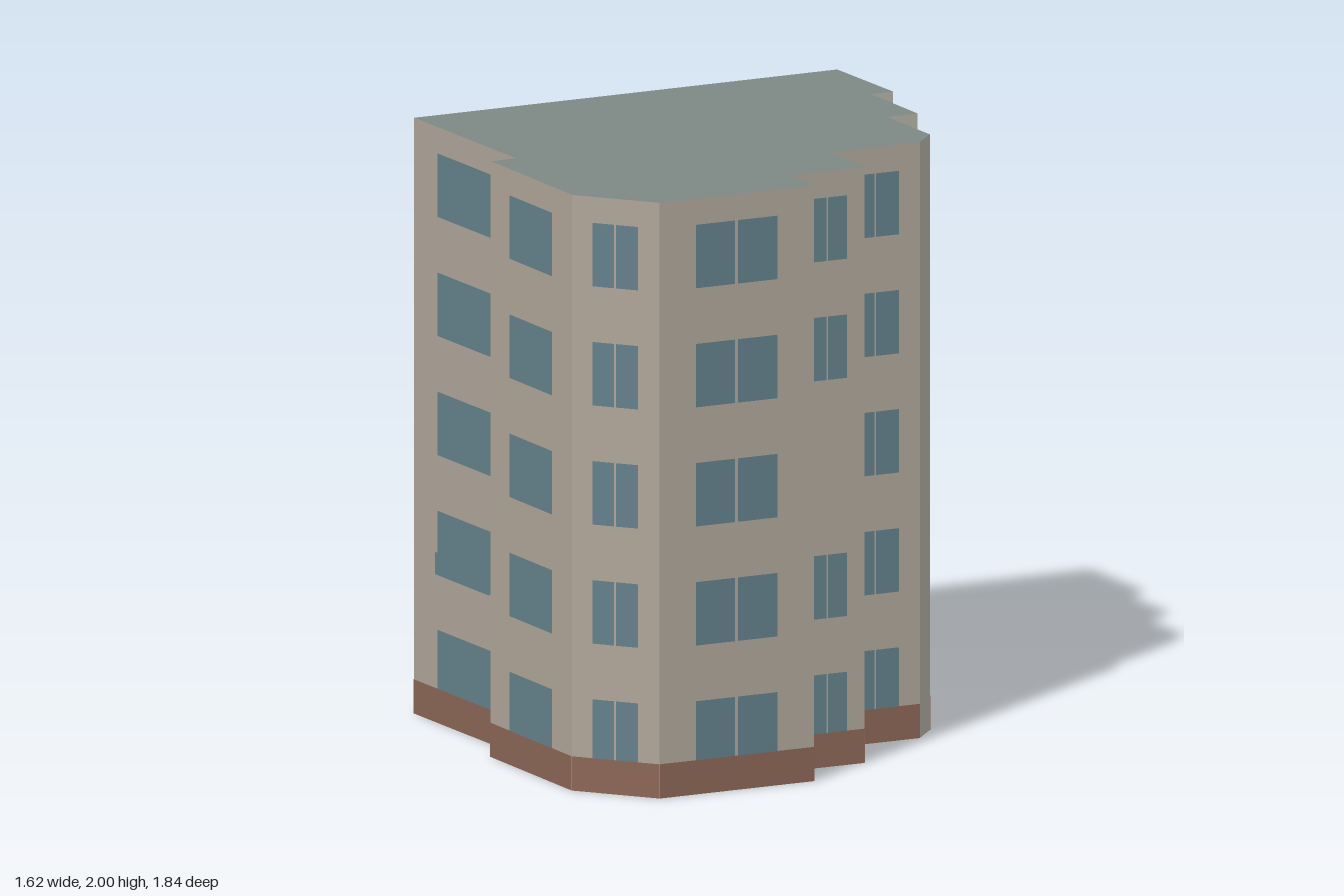
import * as THREE from 'three';

const paint = (color) => new THREE.MeshStandardMaterial({ color, side: THREE.DoubleSide });

// Wall corners in plan [x, z], running round the building
const corners = [
  [-0.81, -0.53], [0.71, -0.92], [0.81, -0.55], [0.73, -0.53],
  [0.81, -0.21], [0.70, -0.18], [0.775, 0.11], [0.715, 0.22],
  [0.395, 0.30], [0.45, 0.545], [0.185, 0.61], [0.225, 0.775],
  [-0.33, 0.915], [-0.58, 0.73], [-0.72, 0.17], [-0.63, 0.145],
];

// Window spans as fractions of a wall's length
const pair = [[0.24, 0.495], [0.515, 0.765]];
const single = [[0.24, 0.76]];
const wide = [[0.118, 0.41], [0.59, 0.882]];
// One entry per wall; null is a plain wall without plinth or windows
const openings = [
  wide, pair, null, pair, null, pair, null, pair,
  pair, pair, pair, pair, pair, single, null, single,
];
const blankOnThirdFloor = [8, 9, 10];

const HEIGHT = 2, PLINTH = 0.115, FLOOR = 0.4, FLOORS = 5;

export function createModel() {
  const model = new THREE.Group();
  model.name = 'apartmentBlock';
  const wallMat = paint(0xaea598);
  const plainMat = paint(0xb2b0a4);
  const roofMat = paint(0x7d8783);
  const glassMat = paint(0x63808a);
  const plinthMat = paint(0x8a6656);

  // Upright rectangle on wall i, from fraction t0 to t1 and height y0 to y1
  function panel(name, i, [t0, t1], y0, y1, out, mat) {
    const [ax, az] = corners[i];
    const [bx, bz] = corners[(i + 1) % corners.length];
    const dx = bx - ax, dz = bz - az, len = Math.hypot(dx, dz);
    const nx = dz / len, nz = -dx / len, t = (t0 + t1) / 2;
    const mesh = new THREE.Mesh(new THREE.PlaneGeometry(len * (t1 - t0), y1 - y0), mat);
    mesh.position.set(ax + dx * t + nx * out, (y0 + y1) / 2, az + dz * t + nz * out);
    mesh.rotation.y = Math.atan2(nx, nz);
    mesh.name = name;
    return mesh;
  }

  openings.forEach((spans, i) => {
    const side = new THREE.Group();
    side.name = 'facade' + (i + 1);
    side.add(panel('wall', i, [0, 1], 0, HEIGHT, 0, spans ? wallMat : plainMat));
    if (spans) {
      side.add(panel('plinth', i, [0, 1], 0, PLINTH, 0.002, plinthMat));
      for (let f = 0; f < FLOORS; f++) {
        if (f === 2 && blankOnThirdFloor.includes(i)) continue;
        const sill = Math.max(PLINTH, 0.1 + f * FLOOR);
        for (const span of spans) {
          side.add(panel('window', i, span, sill, 0.313 + f * FLOOR, 0.003, glassMat));
        }
      }
    }
    model.add(side);
  });

  // Low guard in front of one second-floor window
  model.add(panel('windowGuard', 15, [0.235, 0.77], 0.5, 0.575, 0.01, glassMat));

  // Flat roof; the underside of the block stays open
  const plan = new THREE.Shape(corners.map(([x, z]) => new THREE.Vector2(x, -z)));
  const roof = new THREE.Mesh(new THREE.ShapeGeometry(plan).rotateX(-Math.PI / 2), roofMat);
  roof.position.y = HEIGHT;
  roof.name = 'roof';
  model.add(roof);

  return model;
}
